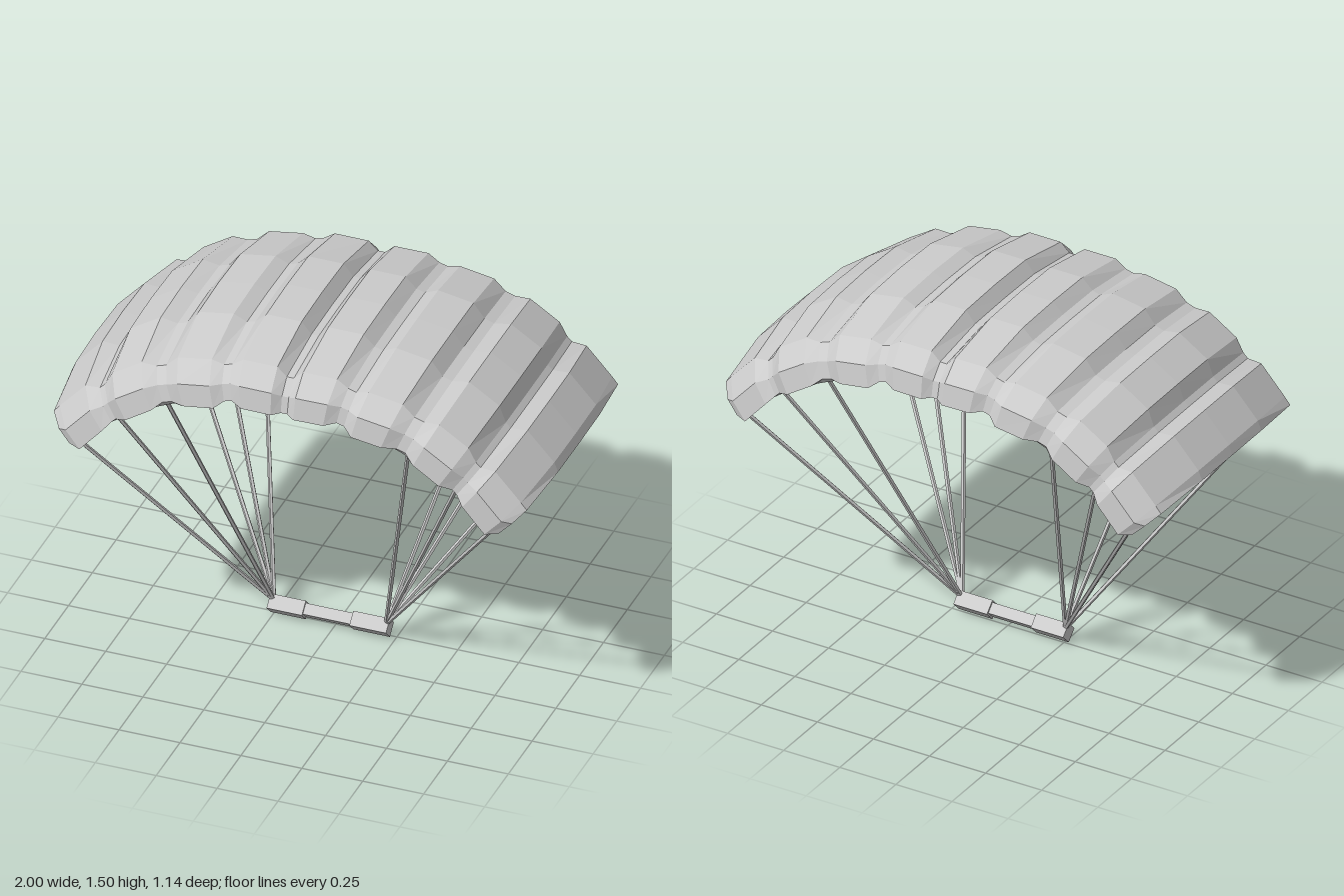
import * as THREE from 'three';

const mat = new THREE.MeshStandardMaterial({ color: 0xcccccc, flatShading: true });
const clothMat = new THREE.MeshStandardMaterial({ color: 0xcccccc, flatShading: true, side: THREE.DoubleSide });

// Ridge line of one half, from the middle outwards: [x, y, valley?]
const HALF = [
  [0.015, 1.45, 1], [0.055, 1.5, 0], [0.2, 1.5, 0], [0.245, 1.455, 1],
  [0.28, 1.445, 1], [0.335, 1.47, 0], [0.48, 1.445, 0], [0.525, 1.385, 1],
  [0.565, 1.372, 1], [0.635, 1.385, 0], [0.76, 1.305, 0], [0.785, 1.235, 1],
  [0.805, 1.215, 1], [0.875, 1.22, 0], [0.985, 1.1, 0], [1.0, 1.06, 1],
];
// Front half of the chordwise sections: [z, inset towards the arc centre]
const OUTER = [[0.22, 0.005], [0.48, 0.055], [0.555, 0.13], [0.57, 0.22]];
const INNER = [[0.22, 0.015], [0.455, 0.07], [0.52, 0.13], [0.53, 0.165]];
const ARC_CENTRE_Y = 0.1;
const LINING_RADIUS = 1.37;

// Mirror a half section front to back, adding the crown point
const fullSection = (half, crown) => [...half.map(([z, d]) => [-z, d]).reverse(), [0, crown], ...half];

// Ribbed top skin with a smooth lining, joined around the rim
function canopyGeometry() {
  const ridge = [...HALF.map(([x, y, v]) => [-x, y, v]).reverse(), ...HALF];
  const outer = fullSection(OUTER, 0);
  const inner = fullSection(INNER, 0.01).reverse();
  const m = outer.length, n = 2 * m;
  const pos = [], index = [];
  for (const [x, y, valley] of ridge) {
    const len = Math.hypot(x, y - ARC_CENTRE_Y);
    const put = (radius, z) => {
      const k = radius / len;
      pos.push(x * k, ARC_CENTRE_Y + (y - ARC_CENTRE_Y) * k, z);
    };
    for (const [z, d] of outer) {
      put(len - (valley ? 0.75 * d : d), valley && Math.abs(z) > 0.5 ? z * 0.96 : z);
    }
    for (const [z, d] of inner) put(Math.min(len - 0.005, LINING_RADIUS) - d, z);
  }
  const quad = (a, b, c, d) => index.push(a, b, c, b, d, c);
  for (let i = 0; i < ridge.length - 1; i++) {
    for (let j = 0; j < n; j++) {
      const a = i * n + j, b = i * n + (j + 1) % n;
      quad(a, b, a + n, b + n);
    }
  }
  // Close the gap between skin and lining at both wing tips
  for (const row of [0, (ridge.length - 1) * n]) {
    for (let j = 0; j < m - 1; j++) quad(row + j, row + j + 1, row + n - 1 - j, row + n - 2 - j);
  }
  const geo = new THREE.BufferGeometry();
  geo.setAttribute('position', new THREE.Float32BufferAttribute(pos, 3));
  geo.setIndex(index);
  geo.computeVertexNormals();
  return geo;
}

function rod(name, from, to, radius, sides) {
  const dir = to.clone().sub(from);
  const mesh = new THREE.Mesh(new THREE.CylinderGeometry(radius, radius, dir.length(), sides), mat);
  mesh.position.copy(from).addScaledVector(dir, 0.5);
  mesh.quaternion.setFromUnitVectors(new THREE.Vector3(0, 1, 0), dir.normalize());
  mesh.name = name;
  return mesh;
}

export function createModel() {
  const model = new THREE.Group();
  model.name = 'parachute';

  const canopy = new THREE.Mesh(canopyGeometry(), clothMat);
  canopy.name = 'canopy';
  model.add(canopy);

  // Control bar: thin diamond rod with a thicker grip at each end
  const V = (x, y, z) => new THREE.Vector3(x, y, z);
  const bar = new THREE.Group();
  bar.name = 'controlBar';
  const piece = (name, x0, x1, r) => bar.add(rod(name, V(x0, 0.045, 0.01), V(x1, 0.045, 0.01), r, 4));
  piece('barMiddle', -0.13, 0.09, 0.032);
  piece('rightGrip', -0.265, -0.12, 0.042);
  piece('leftGrip', 0.075, 0.225, 0.042);
  model.add(bar);

  // Suspension lines fan out from each grip to the front and back rims
  const lines = new THREE.Group();
  lines.name = 'suspensionLines';
  for (const side of [-1, 1]) {
    for (const fb of [-1, 1]) {
      for (const [x, y] of [[0.505, 1.24], [0.71, 1.12], [0.86, 0.96]]) {
        lines.add(rod('line', V(side * 0.23 - 0.02, 0.06, 0.01), V(side * x, y, fb * 0.525), 0.009, 5));
      }
    }
  }
  model.add(lines);
  return model;
}
